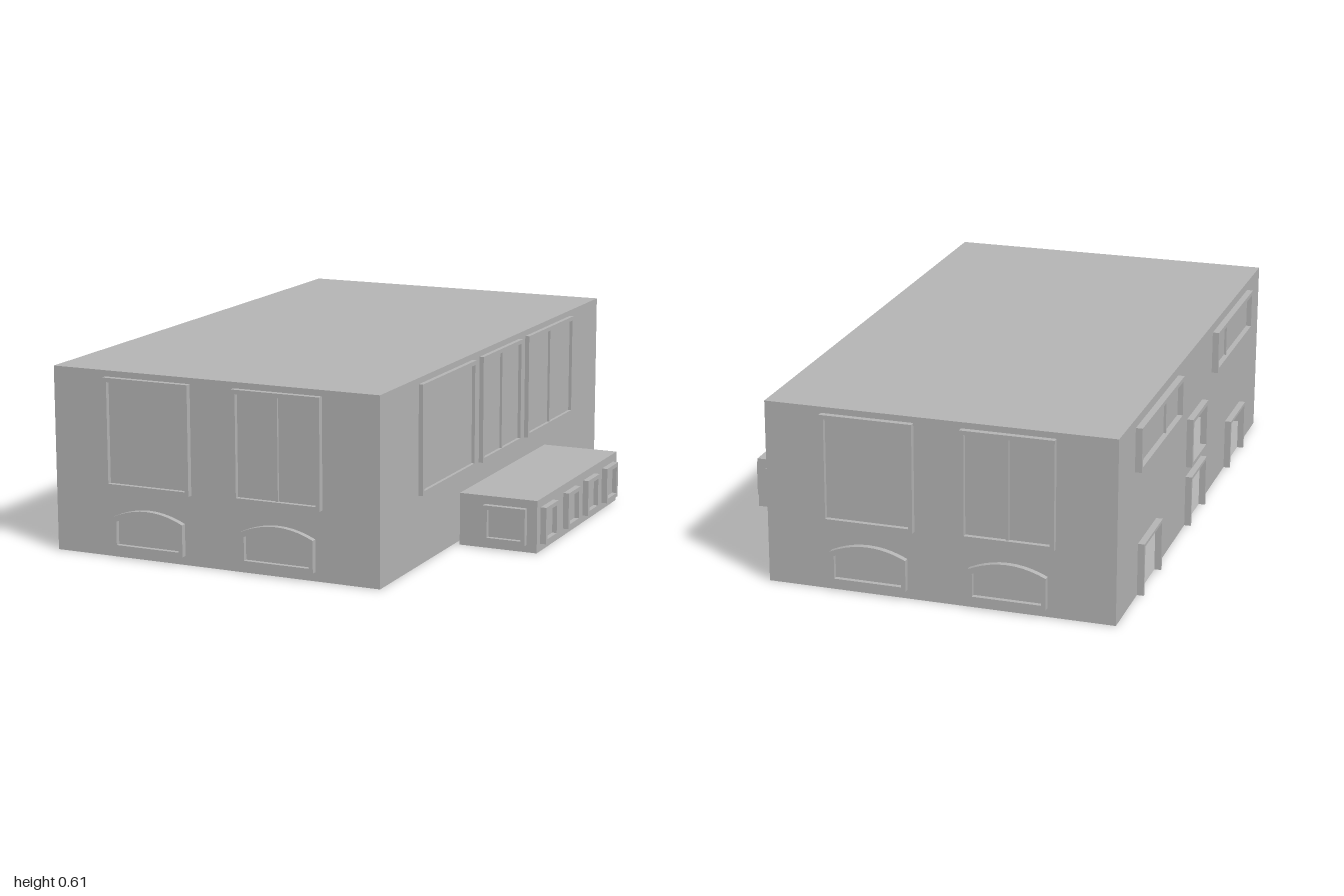
import * as THREE from 'three';

const BAR = 0.014;   // frame bar width

export function createModel() {
  const model = new THREE.Group();
  model.name = 'building';
  const grey = new THREE.MeshStandardMaterial({ color: 0xb4b4b4, side: THREE.DoubleSide });
  grey.name = 'plain grey';

  const add = (parent, name, geometry, x = 0, y = 0, z = 0) => {
    const mesh = new THREE.Mesh(geometry, grey);
    mesh.name = name;
    mesh.position.set(x, y, z);
    parent.add(mesh);
    return mesh;
  };

  // A wall group: local x runs along the wall, local z points outwards
  const side = (name, angle, x, z) => {
    const group = new THREE.Group();
    group.name = name;
    group.rotation.y = angle;
    group.position.set(x, 0, z);
    model.add(group);
    return group;
  };

  // Rectangle whose top edge may rise into an arch
  const outline = (u0, u1, y0, y1, rise = 0) => {
    const s = new THREE.Shape();
    s.moveTo(u0, y0);
    s.lineTo(u1, y0);
    s.lineTo(u1, y1);
    if (rise) s.quadraticCurveTo((u0 + u1) / 2, y1 + rise * 2, u0, y1);
    else s.lineTo(u0, y1);
    s.closePath();
    return s;
  };

  // Raised frame, optional pane and optional mullions
  const opening = (wall, name, u0, u1, y0, y1, { depth = 0.02, rise = 0, mullions = [], pane = true } = {}) => {
    const inner = () => outline(u0 + BAR, u1 - BAR, y0 + BAR, y1 - BAR, rise);
    const ring = outline(u0, u1, y0, y1, rise);
    ring.holes.push(inner());
    add(wall, name + 'Frame', new THREE.ExtrudeGeometry(ring, { depth, bevelEnabled: false, curveSegments: 10 }));
    if (pane) add(wall, name + 'Pane', new THREE.ShapeGeometry(inner(), 10), 0, 0, 0.004);
    for (const u of mullions) {
      add(wall, name + 'Mullion', new THREE.BoxGeometry(0.008, y1 - y0 - 2 * BAR, 0.012), u, (y0 + y1) / 2, 0.006);
    }
  };

  // Ground-level doorway: two jambs and a lintel
  const doorway = (wall, u0, u1, top, depth, bar) => {
    for (const u of [u0 + bar / 2, u1 - bar / 2]) {
      add(wall, 'doorJamb', new THREE.BoxGeometry(bar, top, depth), u, top / 2, depth / 2);
    }
    add(wall, 'doorLintel', new THREE.BoxGeometry(u1 - u0 - 2 * bar, bar, depth), (u0 + u1) / 2, top - bar / 2, depth / 2);
  };

  // Wall surface with notches for ground doors and holes for raised ones
  const wallSurface = (wall, half, doors = [], holes = []) => {
    const s = new THREE.Shape();
    s.moveTo(-half, 0);
    for (const [a, b, top] of doors) {
      s.lineTo(a, 0);
      s.lineTo(a, top);
      s.lineTo(b, top);
      s.lineTo(b, 0);
    }
    s.lineTo(half, 0);
    s.lineTo(half, 0.61);
    s.lineTo(-half, 0.61);
    s.closePath();
    for (const h of holes) s.holes.push(outline(...h));
    add(wall, 'wall', new THREE.ShapeGeometry(s));
  };

  // Roof and floor of the main block
  const slab = new THREE.PlaneGeometry(1.15, 1.96);
  add(model, 'roof', slab, -0.145, 0.61, 0).rotation.x = -Math.PI / 2;
  add(model, 'floor', slab, -0.145, 0, 0).rotation.x = Math.PI / 2;

  // Front and back walls: tall windows over arched ones
  for (const [name, angle, z] of [['frontWall', 0, 0.98], ['backWall', Math.PI, -0.98]]) {
    const wall = side(name, angle, -0.145, z);
    wallSurface(wall, 0.575);
    opening(wall, 'tallWindow', -0.385, -0.08, 0.23, 0.59);
    opening(wall, 'tallWindow', 0.075, 0.38, 0.23, 0.59, { mullions: [0.228] });
    for (const u of [-0.232, 0.228]) {
      opening(wall, 'archedWindow', u - 0.127, u + 0.127, 0.03, 0.135, { rise: 0.03 });
    }
  }

  // Wall on the annex side: three large windows and two hidden doors
  const right = side('annexSideWall', Math.PI / 2, 0.43, 0);
  wallSurface(right, 0.98);
  opening(right, 'largeWindow', -0.685, -0.24, 0.23, 0.59, { depth: 0.015 });
  opening(right, 'middleWindow', -0.18, 0.18, 0.23, 0.59, { depth: 0.015, mullions: [0] });
  opening(right, 'largeWindow', 0.24, 0.69, 0.23, 0.59, { depth: 0.015, mullions: [0.46] });
  for (const u of [-0.205, 0.21]) doorway(right, u - 0.04, u + 0.04, 0.125, 0.018, 0.008);

  // Opposite wall: high windows, open doorways and a raised opening
  const left = side('doorSideWall', -Math.PI / 2, -0.72, 0);
  const doors = [[-0.73, -0.5], [-0.108, 0.108], [0.48, 0.71]];
  const bar = 0.01;
  wallSurface(left, 0.98, doors.map(([a, b]) => [a + bar, b - bar, 0.175 - bar]),
    [[-0.108 + BAR, 0.108 - BAR, 0.21 + BAR, 0.38 - BAR]]);
  for (const [a, b] of doors) doorway(left, a, b, 0.175, 0.022, bar);
  opening(left, 'raisedDoor', -0.108, 0.108, 0.21, 0.38, { depth: 0.022, pane: false });
  opening(left, 'highWindow', -0.785, -0.25, 0.435, 0.58, { depth: 0.022, mullions: [-0.445] });
  opening(left, 'highWindow', 0.24, 0.78, 0.435, 0.58, { depth: 0.022, mullions: [0.41] });

  // Low annex with small windows on its three free sides
  add(model, 'annex', new THREE.BoxGeometry(0.27, 0.175, 0.78), 0.585, 0.0875, 0);
  const outer = side('annexOuterWall', Math.PI / 2, 0.72, 0);
  for (const u of [-0.302, -0.09, 0.102, 0.295]) {
    opening(outer, 'annexWindow', u - 0.057, u + 0.057, 0.025, 0.147);
  }
  for (const [name, angle, z] of [['annexFrontWall', 0, 0.39], ['annexBackWall', Math.PI, -0.39]]) {
    opening(side(name, angle, 0.612, z), 'annexWindow', -0.073, 0.073, 0.025, 0.147);
  }

  return model;
}
